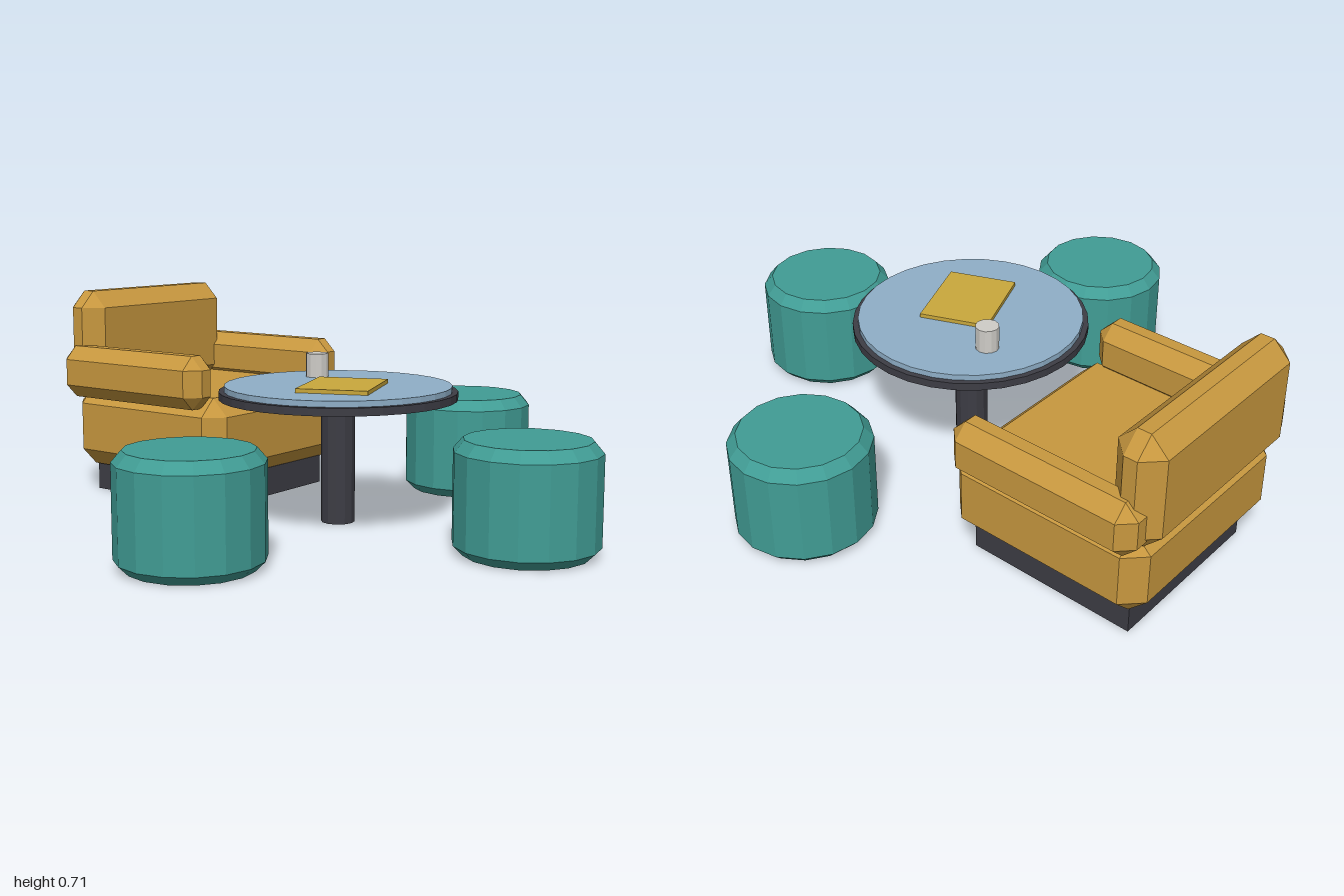
import * as THREE from 'three';
import { ConvexGeometry } from 'three/addons/geometries/ConvexGeometry.js';

const paint = (name, color) => {
  const m = new THREE.MeshStandardMaterial({ color, flatShading: true });
  m.name = name;
  return m;
};

// Box with chamfered edges and triangular corners, given by its min and max corners
function chamferBox(min, max, bevel) {
  const c = min.map((v, i) => (v + max[i]) / 2);
  const h = min.map((v, i) => (max[i] - v) / 2);
  const points = [];
  for (const sx of [-1, 1]) for (const sy of [-1, 1]) for (const sz of [-1, 1]) {
    for (let axis = 0; axis < 3; axis++) {
      const p = [sx, sy, sz].map((s, i) => c[i] + s * (h[i] - (i === axis ? 0 : bevel)));
      points.push(new THREE.Vector3(...p));
    }
  }
  return new ConvexGeometry(points);
}

export function createModel() {
  const mustard = paint('mustard upholstery', 0xc8983f);
  const teal = paint('teal upholstery', 0x419d95);
  const slate = paint('dark slate', 0x3d3d45);
  const glass = paint('blue glass', 0x8fafc8);
  const paper = paint('gold cover', 0xcaa83c);
  const china = paint('pale grey', 0xcfcdc8);

  const model = new THREE.Group();
  model.name = 'loungeSet';
  const add = (parent, name, geometry, material, x = 0, y = 0, z = 0) => {
    const mesh = new THREE.Mesh(geometry, material);
    mesh.name = name;
    mesh.position.set(x, y, z);
    parent.add(mesh);
    return mesh;
  };

  // Armchair, facing the table along +x
  const chair = new THREE.Group();
  chair.name = 'armchair';
  chair.position.z = -0.177;
  model.add(chair);
  add(chair, 'chairBase', new THREE.BoxGeometry(0.57, 0.1, 0.57), slate, -0.62, 0.05, 0);
  add(chair, 'chairSeat', chamferBox([-0.968, 0.095, -0.356], [-0.282, 0.38, 0.356], 0.06), mustard);
  add(chair, 'chairBack', chamferBox([-1, 0.345, -0.356], [-0.842, 0.715, 0.356], 0.057), mustard);
  for (const [name, z] of [['rightArm', 0.346], ['leftArm', -0.346]]) {
    add(chair, name, chamferBox([-0.968, 0.345, z - 0.066], [-0.327, 0.525, z + 0.066], 0.045), mustard);
  }

  // Round table
  const table = new THREE.Group();
  table.name = 'table';
  table.position.x = 0.088;
  model.add(table);
  add(table, 'tableLeg', new THREE.CylinderGeometry(0.055, 0.055, 0.41, 12), slate, 0, 0.205, 0);
  add(table, 'tableRim', new THREE.CylinderGeometry(0.385, 0.385, 0.025, 32), slate, 0, 0.418, 0);
  add(table, 'tableTop', new THREE.CylinderGeometry(0.367, 0.367, 0.02, 32), glass, 0, 0.439, 0);

  // Things on the table
  add(model, 'cup', new THREE.CylinderGeometry(0.038, 0.038, 0.08, 12), china, -0.087, 0.488, -0.12);
  const book = add(model, 'book', new THREE.BoxGeometry(0.23, 0.014, 0.294), paper, 0.145, 0.455, 0.054);
  book.rotation.y = 0.385;

  // Three padded stools sharing one lathed profile
  const profile = [[0, 0], [0.192, 0], [0.222, 0.03], [0.222, 0.31], [0.192, 0.345], [0, 0.345]]
    .map(([r, y]) => new THREE.Vector2(r, y));
  const stool = new THREE.LatheGeometry(profile, 16);
  add(model, 'frontStool', stool, teal, 0.088, 0, 0.71);
  add(model, 'backStool', stool, teal, 0.144, 0, -0.714);
  add(model, 'sideStool', stool, teal, 0.778, 0, 0);

  return model;
}
